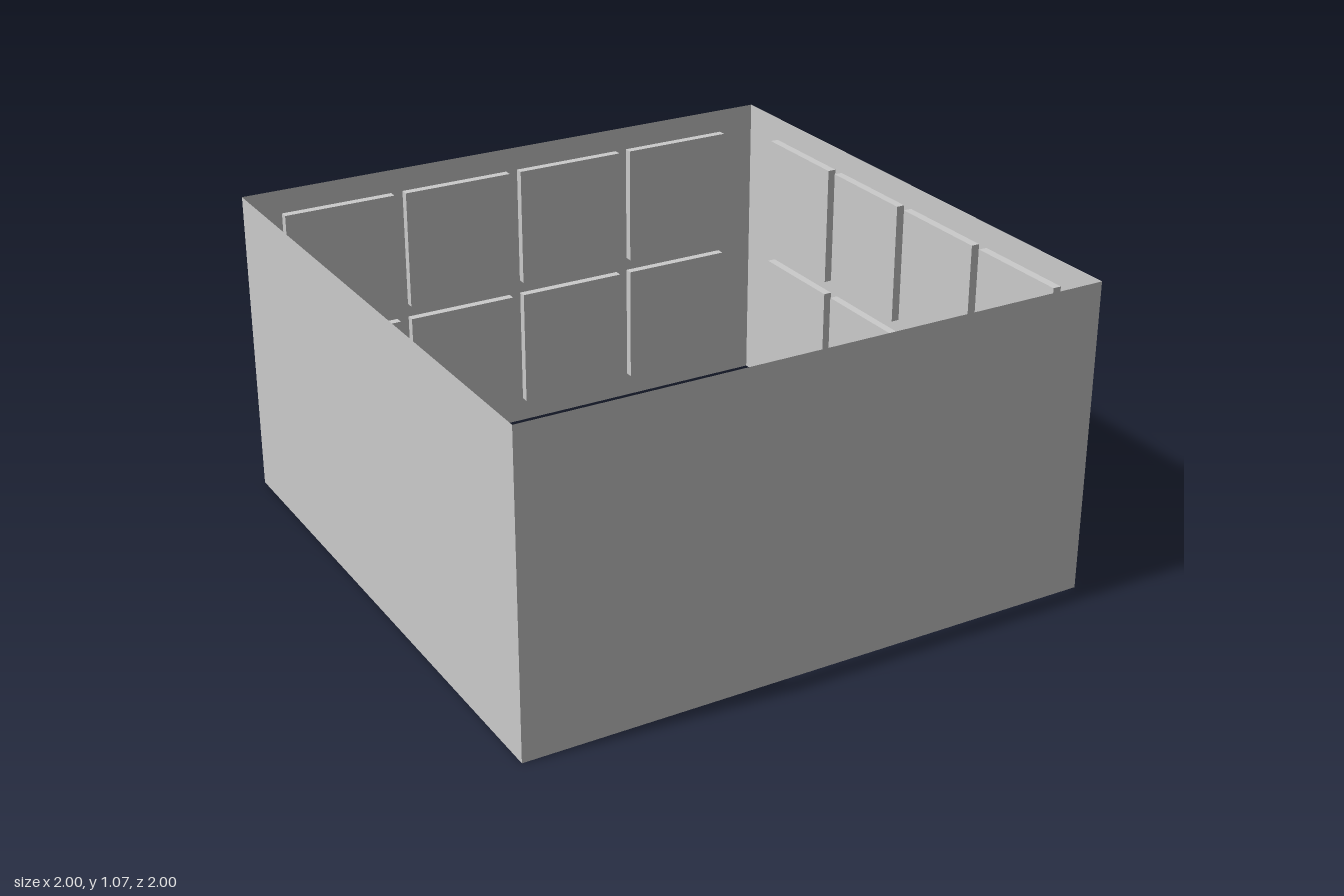
import * as THREE from 'three';

const WIDTH = 2, HEIGHT = 1.067, DEPTH = 0.029;
const material = new THREE.MeshStandardMaterial({ color: 0xcccccc, side: THREE.DoubleSide });

// Tray sunk behind z = 0: a box without its outer face, turned to face outwards
function recessGeometry(w, h) {
  const geo = new THREE.BoxGeometry(w, h, DEPTH).translate(0, 0, -DEPTH / 2);
  const index = Array.from(geo.index.array);
  index.splice(24, 6);
  geo.setIndex(index.reverse());
  geo.clearGroups();
  const normal = geo.attributes.normal;
  for (let i = 0; i < normal.count; i++) {
    normal.setXYZ(i, -normal.getX(i), -normal.getY(i), -normal.getZ(i));
  }
  return geo;
}

// Sheet wall facing outwards, optionally with two rows of four recessed panels
function wall(name, angle, panel) {
  const group = new THREE.Group();
  group.name = name;
  const shape = new THREE.Shape([
    new THREE.Vector2(-WIDTH / 2, 0), new THREE.Vector2(WIDTH / 2, 0),
    new THREE.Vector2(WIDTH / 2, HEIGHT), new THREE.Vector2(-WIDTH / 2, HEIGHT),
  ]);
  if (panel) {
    const { w, pitch } = panel, h = 0.424;
    const geo = recessGeometry(w, h);
    for (const y of [0.3, 0.772]) {
      for (let i = 0; i < 4; i++) {
        const x = (i - 1.5) * pitch;
        shape.holes.push(new THREE.Path([
          new THREE.Vector2(x - w / 2, y - h / 2), new THREE.Vector2(x - w / 2, y + h / 2),
          new THREE.Vector2(x + w / 2, y + h / 2), new THREE.Vector2(x + w / 2, y - h / 2),
        ]));
        const recess = new THREE.Mesh(geo, material);
        recess.name = 'recessedPanel';
        recess.position.set(x, y, 0);
        group.add(recess);
      }
    }
  }
  const sheet = new THREE.Mesh(new THREE.ShapeGeometry(shape), material);
  sheet.name = 'wallSheet';
  group.add(sheet);
  group.rotation.y = angle;
  group.position.set(Math.sin(angle), 0, Math.cos(angle));
  return group;
}

export function createModel() {
  const model = new THREE.Group();
  model.name = 'panelledEnclosure';
  // Plain walls
  model.add(wall('frontWall', 0));
  model.add(wall('rightWall', -Math.PI / 2));
  // Panelled walls
  model.add(wall('leftWall', Math.PI / 2, { w: 0.378, pitch: 0.417 }));
  model.add(wall('backWall', Math.PI, { w: 0.4, pitch: 0.443 }));
  return model;
}
